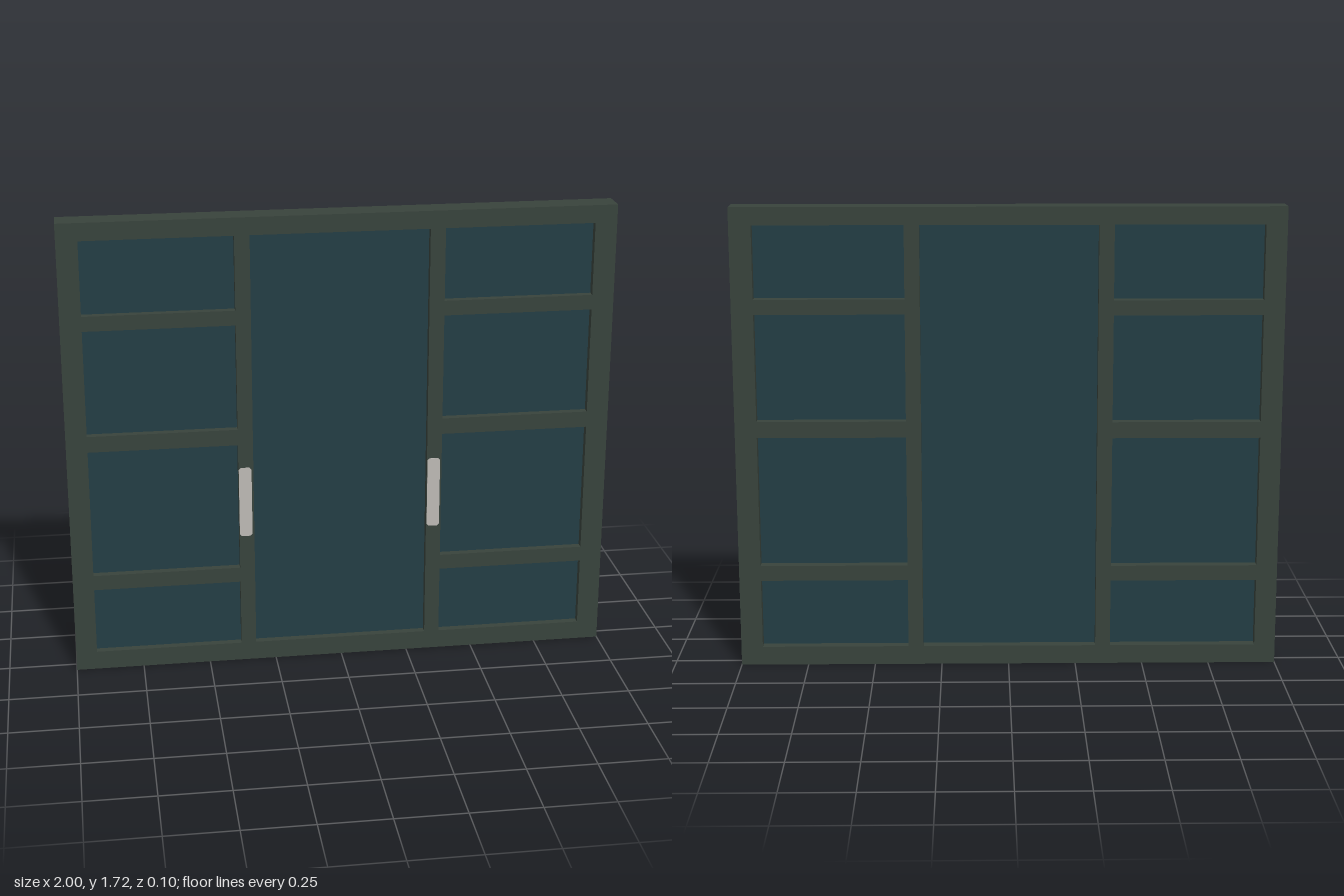
import * as THREE from 'three';

const W = 2, H = 1.715, D = 0.096;

function material(name, color) {
  const m = new THREE.MeshStandardMaterial({ color });
  m.name = name;
  return m;
}

// Closed outline of a rectangle with optional cut corners
function outline(target, x0, y0, x1, y1, c = 0) {
  const pts = c
    ? [[x0 + c, y0], [x1 - c, y0], [x1, y0 + c], [x1, y1 - c], [x1 - c, y1], [x0 + c, y1], [x0, y1 - c], [x0, y0 + c]]
    : [[x0, y0], [x1, y0], [x1, y1], [x0, y1]];
  return target.setFromPoints(pts.map(([x, y]) => new THREE.Vector2(x, y)));
}

export function createModel() {
  const model = new THREE.Group();
  model.name = 'panelledDoors';
  const frameMat = material('dark green frame', 0x38433c);
  const glassMat = material('dark teal glass', 0x233d44);
  const handleMat = material('light grey metal', 0xbdb9b5);

  const add = (name, geometry, mat, parent = model) => {
    const mesh = new THREE.Mesh(geometry, mat);
    mesh.name = name;
    parent.add(mesh);
    return mesh;
  };

  // Openings: two side columns of four and one tall centre opening
  const openings = [[-0.325, 0.07, 0.32, 1.65]];
  const leftRows = [[0.07, 0.323], [0.38, 0.867], [0.927, 1.322], [1.377, 1.65]];
  const rightRows = [[0.07, 0.328], [0.385, 0.872], [0.932, 1.327], [1.382, 1.65]];
  for (const [y0, y1] of leftRows) openings.push([-0.923, y0, -0.38, y1]);
  for (const [y0, y1] of rightRows) openings.push([0.375, y0, 0.92, y1]);

  // One-piece frame with stiles and rails
  const shape = outline(new THREE.Shape(), -W / 2, 0, W / 2, H);
  for (const o of openings) shape.holes.push(outline(new THREE.Path(), ...o));
  const frameGeo = new THREE.ExtrudeGeometry(shape, { depth: D, bevelEnabled: false });
  frameGeo.translate(0, 0, -D / 2);
  add('frame', frameGeo, frameMat);

  // Recessed panes
  const panes = new THREE.Group();
  panes.name = 'panes';
  model.add(panes);
  for (const [x0, y0, x1, y1] of openings) {
    const pane = add('pane', new THREE.BoxGeometry(x1 - x0, y1 - y0, 0.03), glassMat, panes);
    pane.position.set((x0 + x1) / 2, (y0 + y1) / 2, 0.005);
  }

  // Flat handle plates on the front of the two stiles
  for (const [name, x0, x1] of [['rightHandle', -0.379, -0.332], ['leftHandle', 0.322, 0.369]]) {
    const plate = outline(new THREE.Shape(), x0, 0.508, x1, 0.778, 0.008);
    const geo = new THREE.ExtrudeGeometry(plate, { depth: 0.004, bevelEnabled: false });
    geo.translate(0, 0, D / 2 - 0.002);
    add(name, geo, handleMat);
  }
  return model;
}
